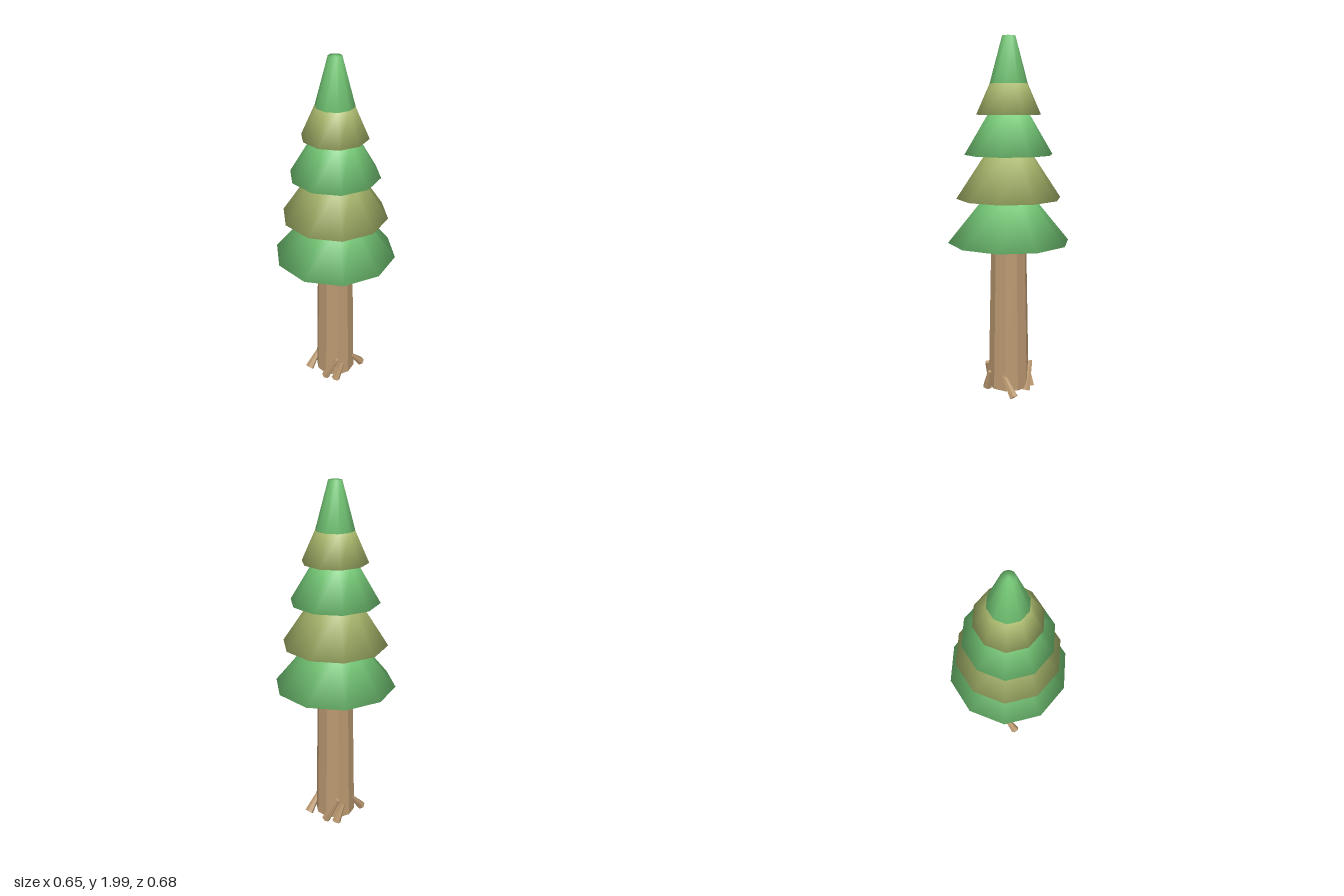
import * as THREE from 'three';
import { mergeVertices } from 'three/addons/utils/BufferGeometryUtils.js';

const SIDES = 10;

// Ten-sided frustum whose shared vertices give soft shading over the rims
function softFrustum(topR, bottomR, height) {
  const g = new THREE.CylinderGeometry(topR, bottomR, height, SIDES, 1);
  g.deleteAttribute('normal');
  g.deleteAttribute('uv');
  const merged = mergeVertices(g, 1e-4);
  merged.computeVertexNormals();
  return merged;
}

// Tapered flat-sided root running from the trunk down to the ground
function rootMesh(from, to, material) {
  const a = new THREE.Vector3(...from), b = new THREE.Vector3(...to);
  const dir = a.clone().sub(b);
  const g = new THREE.CylinderGeometry(0.012, 0.026, dir.length(), 6).toNonIndexed();
  g.computeVertexNormals();
  const m = new THREE.Mesh(g, material);
  m.position.copy(a).add(b).multiplyScalar(0.5);
  m.quaternion.setFromUnitVectors(new THREE.Vector3(0, 1, 0), dir.normalize());
  m.name = 'root';
  return m;
}

export function createModel() {
  const model = new THREE.Group();
  model.name = 'pineTree';

  const bark = new THREE.MeshStandardMaterial({ color: 0xba9870, flatShading: true });
  bark.name = 'barkBrown';
  const green = new THREE.MeshStandardMaterial({ color: 0x76cb78 });
  green.name = 'leafGreen';
  const olive = new THREE.MeshStandardMaterial({ color: 0xa9b86c });
  olive.name = 'leafOlive';

  // Trunk
  const trunk = new THREE.Mesh(new THREE.CylinderGeometry(0.099, 0.117, 0.85, SIDES), bark);
  trunk.position.y = 0.04 + 0.425;
  trunk.name = 'trunk';
  model.add(trunk);

  // Roots: three leaning ones, repeated by a half turn
  const roots = new THREE.Group();
  roots.name = 'roots';
  const paths = [
    [[0.07, 0.175, 0.105], [-0.005, 0.022, 0.112]],
    [[0.09, 0.13, 0.075], [0.062, 0.022, 0.108]],
    [[0.1, 0.13, -0.02], [0.128, 0.025, -0.1]],
  ];
  for (const s of [1, -1]) {
    for (const [a, b] of paths) {
      roots.add(rootMesh([a[0] * s, a[1], a[2] * s], [b[0] * s, b[1], b[2] * s], bark));
    }
  }
  model.add(roots);

  // Foliage tiers: bottom height, top height, bottom radius, top radius
  const tiers = [
    [0.885, 1.13, 0.34, 0.14],
    [1.13, 1.37, 0.291, 0.132],
    [1.37, 1.585, 0.244, 0.116],
    [1.585, 1.75, 0.178, 0.104],
    [1.75, 2.0, 0.104, 0.036],
  ];
  tiers.forEach(([y0, y1, r0, r1], i) => {
    const tier = new THREE.Mesh(softFrustum(r1, r0, y1 - y0), i % 2 ? olive : green);
    tier.position.y = (y0 + y1) / 2;
    tier.name = 'foliageTier' + (i + 1);
    model.add(tier);
  });

  return model;
}
